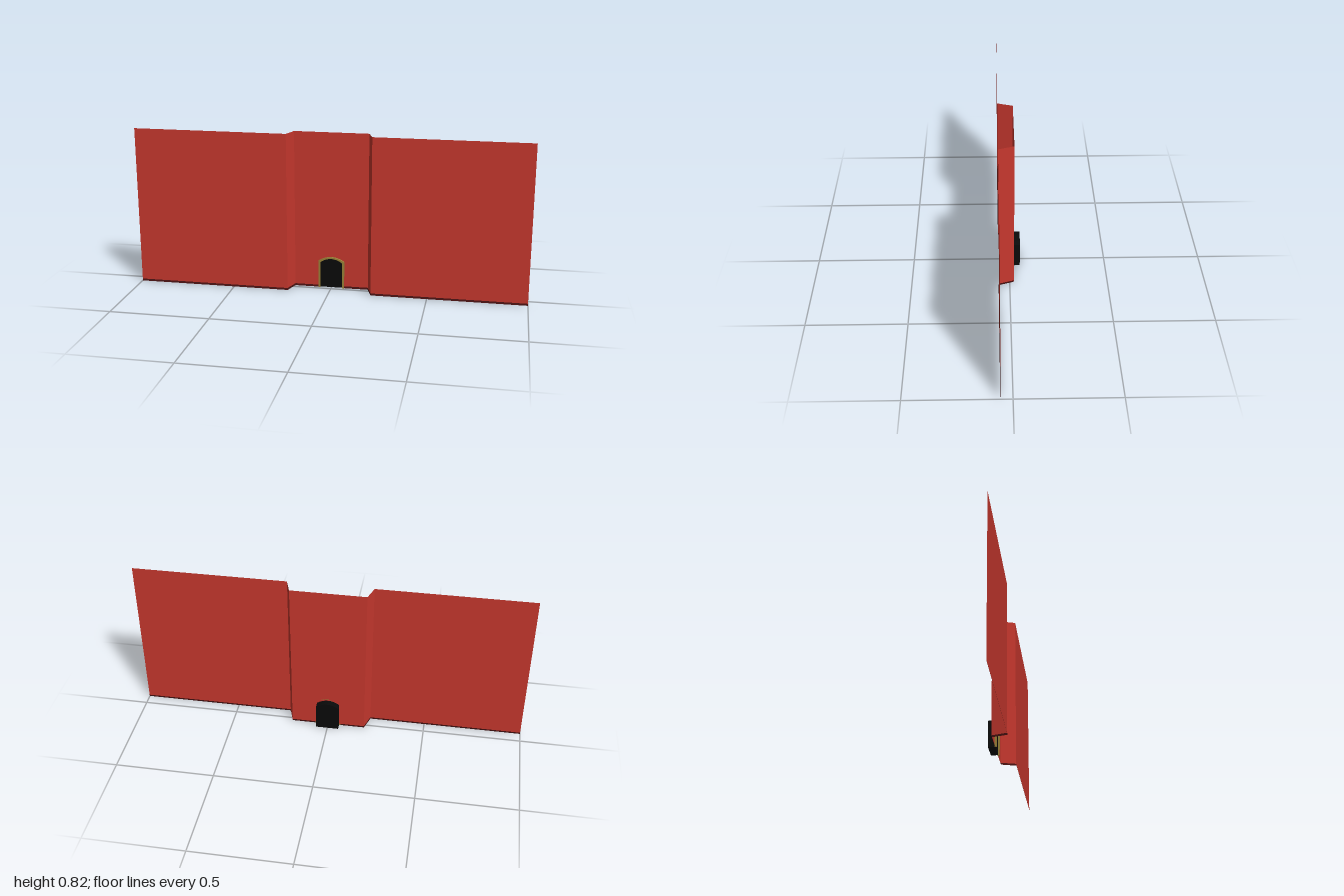
import * as THREE from 'three';

const material = (color) => new THREE.MeshStandardMaterial({ color, flatShading: true, side: THREE.DoubleSide });

// Open vertical sheet along a plan path of [x, z] points; the foot may lean forward.
function ribbon(path, y0, y1, lean = 0) {
  const pos = [];
  for (let i = 0; i < path.length - 1; i++) {
    const [ax, az] = path[i], [bx, bz] = path[i + 1];
    const a = [ax, y0, az + lean], b = [bx, y0, bz + lean];
    const c = [bx, y1, bz], d = [ax, y1, az];
    pos.push(...a, ...b, ...c, ...a, ...c, ...d);
  }
  const geo = new THREE.BufferGeometry();
  geo.setAttribute('position', new THREE.Float32BufferAttribute(pos, 3));
  geo.computeVertexNormals();
  return geo;
}

// Outline of a doorway with a shallow arched head.
function archPoints(halfWidth, shoulder, top, base, steps = 8) {
  const pts = [new THREE.Vector2(-halfWidth, base), new THREE.Vector2(halfWidth, base)];
  for (let i = 0; i <= steps; i++) {
    const u = 1 - (2 * i) / steps;
    pts.push(new THREE.Vector2(u * halfWidth, shoulder + (top - shoulder) * (1 - u * u)));
  }
  return pts;
}

export function createModel() {
  const group = new THREE.Group();
  const add = (name, geo, mat, z = 0) => {
    const mesh = new THREE.Mesh(geo, mat);
    mesh.name = name;
    mesh.position.z = z;
    group.add(mesh);
  };
  const zFront = 0.055, zBack = -0.022;
  const side = [[-1, zFront], [-0.215, zFront], [-0.19, zBack]];
  const mirror = (path) => path.map(([x, z]) => [-x, z]).reverse();

  // Wall sheet with a recessed middle bay
  add('wall', ribbon([...side, ...mirror(side)], 0.01, 0.818), material(0xc8382e));

  // Skirting strips, stopping at the doorway
  const skirting = [...side, [-0.06, zBack]];
  const dark = material(0x4a1212);
  add('skirtingRight', ribbon(skirting, 0, 0.01, 0.002), dark);
  add('skirtingLeft', ribbon(mirror(skirting), 0, 0.01, 0.002), dark);

  // Dark arched hole, protruding behind the wall
  const hole = new THREE.Shape(archPoints(0.058, 0.137, 0.158, 0.002));
  add('archedHole', new THREE.ExtrudeGeometry(hole, { depth: 0.035, bevelEnabled: false }),
    material(0x0a0a0a), -0.055);

  // Thin trim around the hole: an outer arch followed back by the inner one
  const outer = archPoints(0.067, 0.144, 0.166, 0).slice(2);
  const inner = archPoints(0.058, 0.137, 0.158, 0).slice(2).reverse();
  const trim = new THREE.Shape([
    new THREE.Vector2(0.067, 0), ...outer, new THREE.Vector2(-0.067, 0),
    new THREE.Vector2(-0.058, 0), ...inner, new THREE.Vector2(0.058, 0),
  ]);
  add('archTrim', new THREE.ExtrudeGeometry(trim, { depth: 0.01, bevelEnabled: false }),
    material(0x9a8238), zBack);

  return group;
}
